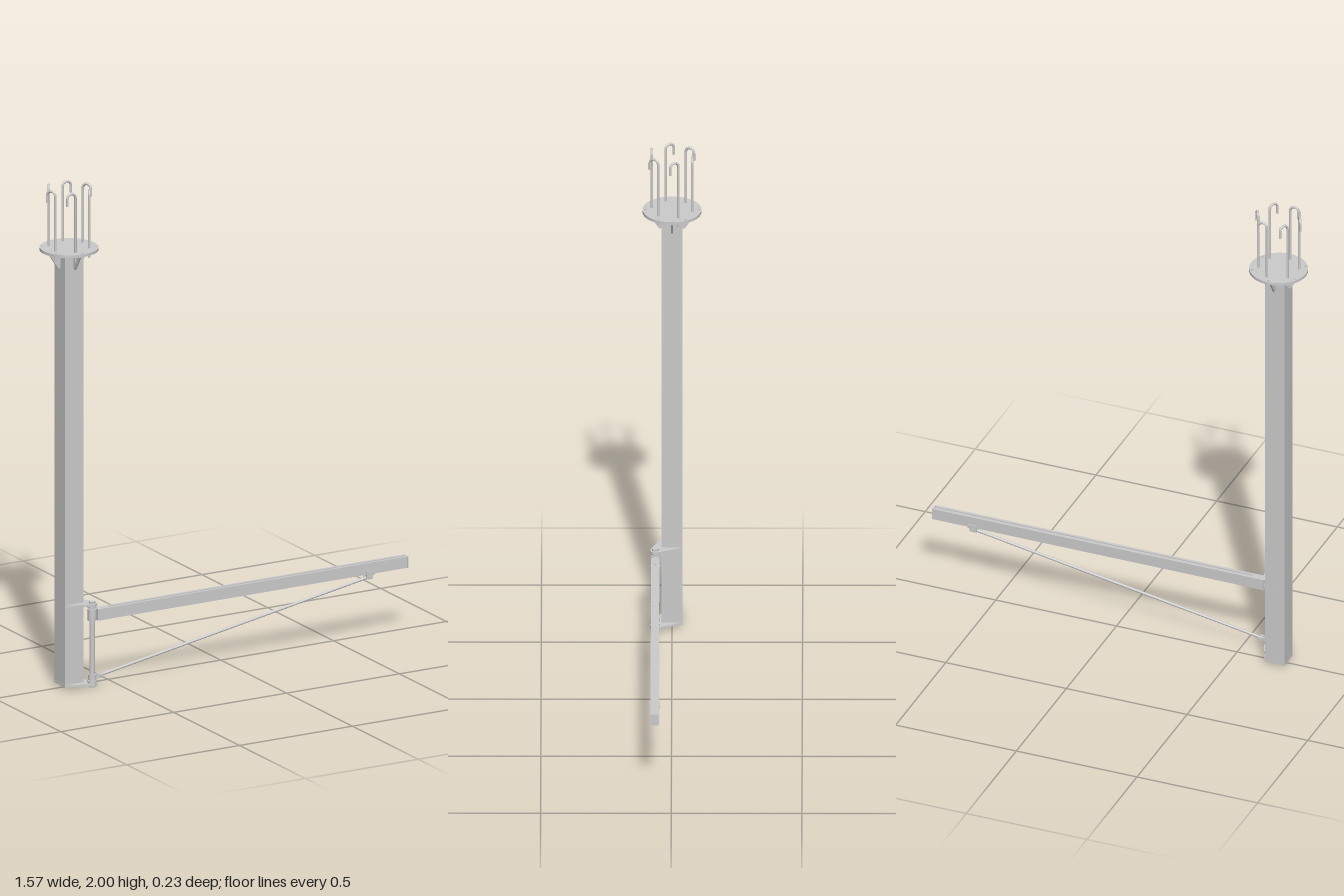
import * as THREE from 'three';

const material = new THREE.MeshStandardMaterial({ color: 0xcccccc, side: THREE.DoubleSide });
const COL = { x: -0.672, z: 0, w: 0.081 };
const PIVOT = { x: -0.607, z: 0.064 };

export function createModel() {
  const model = new THREE.Group();

  const add = (name, geometry, x = 0, y = 0, z = 0, parent = model) => {
    const mesh = new THREE.Mesh(geometry, material);
    mesh.name = name;
    mesh.position.set(x, y, z);
    parent.add(mesh);
    return mesh;
  };
  const box = (name, w, h, d, x, y, z, parent) => add(name, new THREE.BoxGeometry(w, h, d), x, y, z, parent);
  const cyl = (name, r, h, x, y, z, sides = 20, parent = model) =>
    add(name, new THREE.CylinderGeometry(r, r, h, sides), x, y, z, parent);
  // Horizontal plate: shape points are (x, z), its upper face lies at y
  const flatPlate = (name, shape, thickness, x, y, z) => {
    const g = new THREE.ExtrudeGeometry(shape, { depth: thickness, bevelEnabled: false, curveSegments: 32 });
    g.rotateX(Math.PI / 2);
    return add(name, g, x, y, z);
  };
  const polygon = (points) => new THREE.Shape(points.map(([x, y]) => new THREE.Vector2(x, y)));

  // Square column
  box('column', COL.w, 1.733, COL.w, COL.x, 0.8805, COL.z);

  // Round ceiling plate with six holes near the rim
  const disc = new THREE.Shape().absarc(0, 0, 0.113, 0, Math.PI * 2);
  for (let i = 0; i < 6; i++) {
    const a = Math.PI / 6 + (i * Math.PI) / 3;
    disc.holes.push(new THREE.Path().absarc(0.103 * Math.cos(a), 0.103 * Math.sin(a), 0.005, 0, Math.PI * 2, true));
  }
  flatPlate('ceilingPlate', disc, 0.011, COL.x, 1.758, COL.z);

  // Gussets between column and ceiling plate
  const gusset = polygon([[0.04, 0], [0.086, 0], [0.086, -0.012], [0.05, -0.068], [0.04, -0.068]]);
  for (let i = 0; i < 4; i++) {
    const g = new THREE.ExtrudeGeometry(gusset, { depth: 0.006, bevelEnabled: false });
    g.translate(0, 0, -0.003);
    add('gusset', g, COL.x, 1.747, COL.z).rotation.y = (i * Math.PI) / 2;
  }

  // Hooked anchor rods with nuts under the plate
  const hookR = 0.018, rodR = 0.005, bendY = 2 - hookR - rodR;
  const hookPath = new THREE.CurvePath();
  const arc = [];
  for (let i = 0; i <= 8; i++) {
    const a = Math.PI * (1 - i / 8);
    arc.push(new THREE.Vector3(hookR + hookR * Math.cos(a), bendY + hookR * Math.sin(a), 0));
  }
  const stem = [new THREE.Vector3(0, 1.722, 0), ...arc, new THREE.Vector3(2 * hookR, 1.948, 0)];
  for (let i = 1; i < stem.length; i++) hookPath.add(new THREE.LineCurve3(stem[i - 1], stem[i]));
  const hookGeometry = new THREE.TubeGeometry(hookPath, 120, rodR, 10);
  for (let i = 0; i < 6; i++) {
    const a = THREE.MathUtils.degToRad(18 + 60 * i);
    const anchor = new THREE.Group();
    anchor.name = 'anchor';
    anchor.position.set(COL.x + 0.079 * Math.cos(a), 0, COL.z - 0.079 * Math.sin(a));
    anchor.rotation.y = a - THREE.MathUtils.degToRad(78);
    model.add(anchor);
    add('anchorRod', hookGeometry, 0, 0, 0, anchor);
    cyl('anchorRodEnd', rodR, 0.003, 0, 1.7215, 0, 10, anchor);
    cyl('anchorTip', rodR, 0.002, 2 * hookR, 1.948, 0, 10, anchor);
    cyl('anchorNut', 0.009, 0.009, 0, 1.7425, 0, 6, anchor);
  }

  // Upper and lower hinge plates wrapping the column corner
  const hinge = polygon([
    [-0.713, 0.041], [-0.622, 0.08], [-0.606, 0.084], [-0.593, 0.079], [-0.587, 0.066],
    [-0.59, 0.051], [-0.631, -0.041], [-0.713, -0.041],
  ]);
  flatPlate('upperHingePlate', hinge, 0.009, 0, 0.339, 0);
  flatPlate('lowerHingePlate', hinge, 0.009, 0, 0.02, 0);

  // Pivot post, collars and bolt heads
  cyl('pivotPost', 0.0105, 0.31, PIVOT.x, 0.175, PIVOT.z);
  for (const y of [0.325, 0.025]) cyl('pivotCollar', 0.017, 0.01, PIVOT.x, y, PIVOT.z);
  cyl('pivotBolt', 0.006, 0.346, PIVOT.x, 0.173, PIVOT.z, 12);
  for (const y of [0.342, 0.007]) cyl('pivotNut', 0.012, 0.008, PIVOT.x, y, PIVOT.z, 6);

  // Boom: hollow rail, slotted below, with two ribs on top
  const half = [
    [0.006, 0.27], [0.006, 0.274], [0.013, 0.274], [0.013, 0.307], [0, 0.307],
  ];
  const outer = [
    [0, 0.311], [0.005, 0.311], [0.005, 0.315], [0.016, 0.315], [0.016, 0.27],
  ];
  const right = [...outer, ...half];
  const left = right.slice(1, -1).reverse().map(([x, y]) => [-x, y]);
  const rail = new THREE.ExtrudeGeometry(polygon([...right, ...left]), { depth: 1.32, bevelEnabled: false });
  rail.rotateY(Math.PI / 2);
  add('boomRail', rail, -0.54, 0, PIVOT.z);
  box('boomEndCap', 0.005, 0.045, 0.034, 0.782, 0.2925, PIVOT.z);
  box('boomHead', 0.055, 0.045, 0.034, -0.5625, 0.2925, PIVOT.z);
  cyl('boomSleeve', 0.017, 0.045, PIVOT.x, 0.2925, PIVOT.z);
  for (const x of [-0.55, 0.76]) cyl('boomBolt', 0.005, 0.038, x, 0.3, PIVOT.z, 8).rotation.x = Math.PI / 2;

  // Diagonal tie rod
  const start = new THREE.Vector3(-0.585, 0.044, PIVOT.z);
  const end = new THREE.Vector3(0.61, 0.253, PIVOT.z);
  const tie = cyl('tieRod', 0.0055, start.distanceTo(end), 0, 0, 0, 14);
  tie.position.copy(start).lerp(end, 0.5);
  tie.rotation.z = Math.atan2(end.y - start.y, end.x - start.x) - Math.PI / 2;

  // Tie rod fittings: lower clevis and collar, upper bracket under the boom
  cyl('tieCollar', 0.016, 0.022, PIVOT.x, 0.044, PIVOT.z);
  for (const s of [-1, 1]) {
    box('tieClevis', 0.04, 0.014, 0.004, -0.583, 0.045, PIVOT.z + s * 0.008);
    box('tieBracketCheek', 0.028, 0.022, 0.004, 0.616, 0.259, PIVOT.z + s * 0.01);
    box('tieBracketClamp', 0.036, 0.014, 0.004, 0.617, 0.275, PIVOT.z + s * 0.018);
  }
  box('tieBracketBase', 0.036, 0.005, 0.04, 0.617, 0.2685, PIVOT.z);
  for (const [x, y] of [[-0.572, 0.046], [0.617, 0.255]])
    cyl('tiePin', 0.005, 0.032, x, y, PIVOT.z, 10).rotation.x = Math.PI / 2;

  return model;
}
